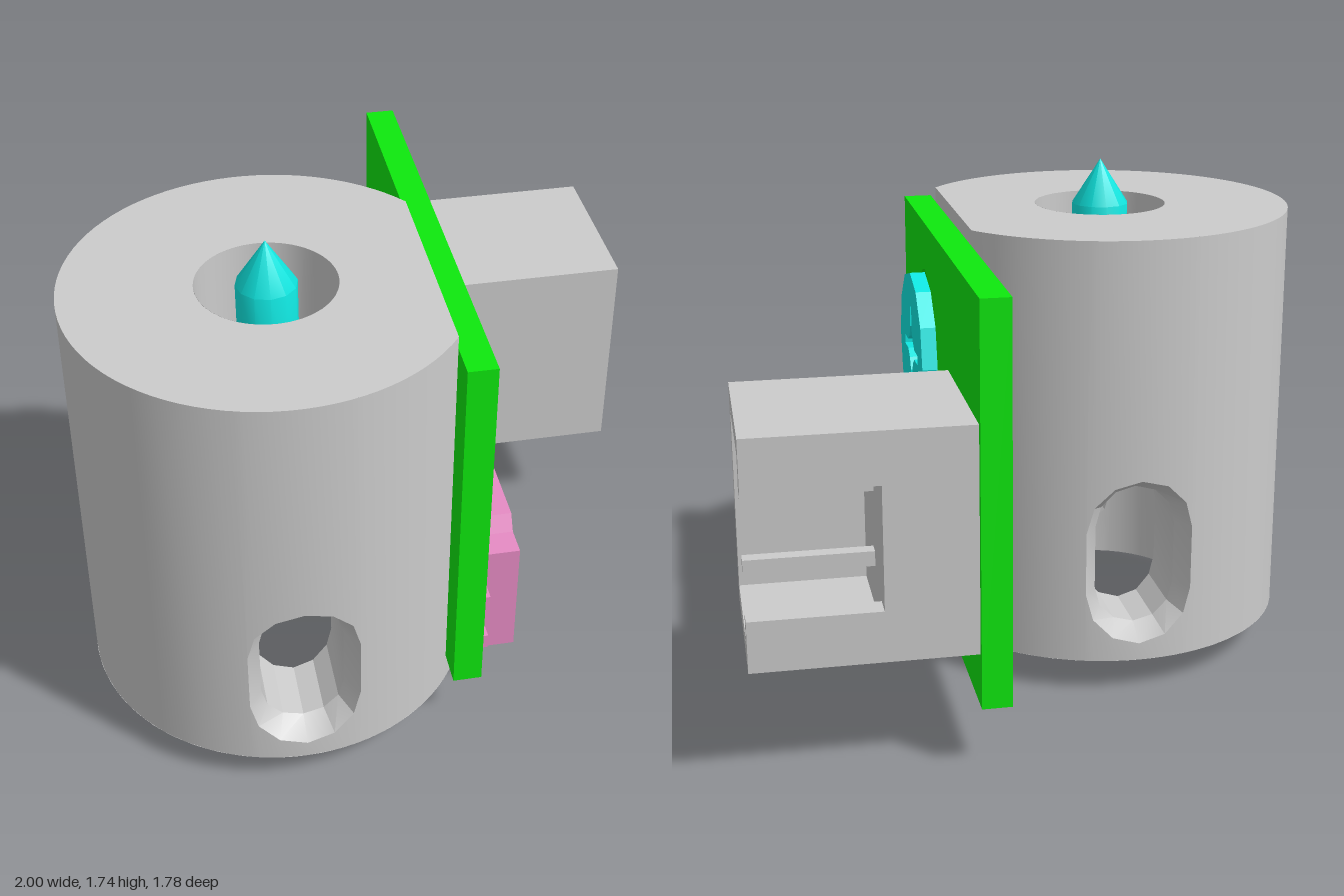
import * as THREE from 'three';
import { mergeGeometries, toCreasedNormals } from 'three/addons/utils/BufferGeometryUtils.js';

const mat = (color) => new THREE.MeshStandardMaterial({ color, side: THREE.DoubleSide });
const GREY = mat(0xcccccc), GREEN = mat(0x0ee80e), CYAN = mat(0x10e8e2), PINK = mat(0xe68bc4);

function add(parent, name, geometry, material) {
  const mesh = new THREE.Mesh(geometry, material);
  mesh.name = name;
  parent.add(mesh);
  return mesh;
}

// Box given by its limits on each axis
function box(x0, x1, y0, y1, z0, z1) {
  return new THREE.BoxGeometry(x1 - x0, y1 - y0, z1 - z0)
    .translate((x0 + x1) / 2, (y0 + y1) / 2, (z0 + z1) / 2);
}

// Profile of [z, y] points extruded along x
const points = (list) => list.map(([z, y]) => new THREE.Vector2(-z, y));
function extrudeX(list, x0, x1, hole) {
  const shape = new THREE.Shape(points(list));
  if (hole) shape.holes.push(new THREE.Path(points(hole)));
  return new THREE.ExtrudeGeometry(shape, { depth: x1 - x0, bevelEnabled: false })
    .rotateY(Math.PI / 2).translate(x0, 0, 0);
}

// Stadium outline with 30 degree facets
function stadium(cx, lo, hi, r) {
  const out = [];
  for (let i = 0; i < 14; i++) {
    const a = (i < 7 ? i : i - 1) * Math.PI / 6;
    out.push([cx + r * Math.cos(a), (i < 7 ? hi : lo) + r * Math.sin(a)]);
  }
  return out;
}

// Body dimensions, relative to its own axis
const R = 0.66, BORE = 0.355, HOLE = 0.23, FLAT = 0.528;
const Y0 = 0.115, LEDGE = 0.215, Y1 = 1.585, BORE_TOP = 0.95, HOLE_FLOOR = 1.1;
const SLOT_LO = 0.36, SLOT_HI = 0.582, SLOT_OUT = 0.184, SLOT_IN = 0.138;

function fromQuads(quads) {
  const pos = [];
  for (const [a, b, c, d] of quads) pos.push(...a, ...b, ...c, ...a, ...c, ...d);
  const g = new THREE.BufferGeometry();
  g.setAttribute('position', new THREE.Float32BufferAttribute(pos, 3));
  return g;
}

// Round wall pierced by the front and back slots, lowered where the flat cuts it
function wall(r, top, slot, flat, inward) {
  const angles = [];
  for (let i = 0; i < 48; i++) {
    const a = i * Math.PI / 24;
    if (Math.abs(r * Math.cos(a)) > slot + 0.005) angles.push(a);
  }
  for (let i = 0; i <= 6; i++) {
    const a = Math.acos(slot * Math.cos(i * Math.PI / 6) / r);
    angles.push(a, 2 * Math.PI - a);
  }
  const phi = Math.acos(FLAT / R);
  if (flat) angles.push(phi, 2 * Math.PI - phi);
  angles.sort((a, b) => a - b);
  angles.push(2 * Math.PI);
  const quads = [];
  const strip = (a, b, al, ah, bl, bh) => {
    const p = (t, y) => [r * Math.cos(t), y, r * Math.sin(t)];
    const q = [p(a, al), p(a, ah), p(b, bh), p(b, bl)];
    quads.push(inward ? q.reverse() : q);
  };
  for (let i = 0; i + 1 < angles.length; i++) {
    const a = angles[i], b = angles[i + 1], x = r * Math.cos((a + b) / 2);
    if (Math.abs(x) < slot) {
      const rise = (t) => Math.sqrt(Math.max(0, slot * slot - (r * Math.cos(t)) ** 2));
      strip(a, b, Y0, SLOT_LO - rise(a), Y0, SLOT_LO - rise(b));
      strip(a, b, SLOT_HI + rise(a), top, SLOT_HI + rise(b), top);
    } else {
      const t = flat && x > FLAT ? LEDGE : top;
      strip(a, b, Y0, t, Y0, t);
    }
  }
  return fromQuads(quads);
}

// Chamfered tunnel from the outer wall into the bore, on side s of z
function slotTunnel(s) {
  const ring = (r, z) => stadium(0, SLOT_LO, SLOT_HI, r).map(([x, y]) => [x, y, s * z(x)]);
  const rings = [
    ring(SLOT_OUT, (x) => Math.sqrt(R * R - x * x)),
    ring(SLOT_IN, () => 0.57),
    ring(SLOT_IN, (x) => Math.sqrt(BORE * BORE - x * x)),
  ];
  const quads = [];
  for (let k = 0; k < 2; k++) {
    for (let i = 0; i < 14; i++) {
      const j = (i + 1) % 14;
      const q = [rings[k][i], rings[k][j], rings[k + 1][j], rings[k + 1][i]];
      quads.push(s > 0 ? q : q.reverse());
    }
  }
  return fromQuads(quads);
}

// Horizontal face from an arc outline, optionally with a round hole
function cap(r, from, to, y, hole, up = true) {
  const shape = new THREE.Shape().absarc(0, 0, r, from, to, false);
  if (hole) shape.holes.push(new THREE.Path().absarc(0, 0, hole, 0, 2 * Math.PI, true));
  const g = new THREE.ShapeGeometry(shape, r === HOLE || hole === HOLE ? 36 : 48);
  return g.rotateX(up ? -Math.PI / 2 : Math.PI / 2).translate(0, y, 0);
}

function bodyGeometry() {
  const phi = Math.acos(FLAT / R), zf = R * Math.sin(phi), full = 2 * Math.PI;
  const holeWall = new THREE.CylinderGeometry(HOLE, HOLE, Y1 - HOLE_FLOOR, 36, 1, true)
    .scale(-1, 1, 1).translate(0, (Y1 + HOLE_FLOOR) / 2, 0);
  holeWall.index.array.reverse();
  // the mirrored, reversed wall is turned to face the axis
  for (let i = 0; i < holeWall.index.count; i += 3) {
    const a = holeWall.index.getX(i);
    holeWall.index.setX(i, holeWall.index.getX(i + 1));
    holeWall.index.setX(i + 1, a);
  }
  const parts = [
    wall(R, Y1, SLOT_OUT, true, false),
    wall(BORE, BORE_TOP, SLOT_IN, false, true),
    slotTunnel(1), slotTunnel(-1), holeWall,
    cap(R, phi, full - phi, Y1, HOLE),
    cap(R, -phi, phi, LEDGE),
    cap(R, 0, full, Y0, BORE, false),
    cap(BORE, 0, full, BORE_TOP, 0, false),
    cap(HOLE, 0, full, HOLE_FLOOR),
    new THREE.PlaneGeometry(2 * zf, Y1 - LEDGE).rotateY(Math.PI / 2)
      .translate(FLAT, (Y1 + LEDGE) / 2, 0),
  ].map((g) => {
    const n = g.index ? g.toNonIndexed() : g;
    n.deleteAttribute('uv');
    n.deleteAttribute('normal');
    return n;
  });
  return toCreasedNormals(mergeGeometries(parts), 0.45);
}

export function createModel() {
  const model = new THREE.Group();
  model.name = 'sensorAssembly';

  // Round housing with the pointed pin in its top hole
  const housing = new THREE.Group();
  housing.name = 'housing';
  housing.position.set(-0.343, 0, 0.225);
  model.add(housing);
  add(housing, 'housingBody', bodyGeometry(), GREY);
  const pin = [[0, 1.1], [0.125, 1.1], [0.125, 1.35], [0.1, 1.35], [0.1, 1.585], [0, 1.74]]
    .map(([x, y]) => new THREE.Vector2(x, y));
  add(housing, 'pointedPin', toCreasedNormals(new THREE.LatheGeometry(pin, 12), 0.6), CYAN);

  // Circuit board with an upright adjusting slot
  add(model, 'circuitBoard', extrudeX(
    [[0.735, 0.215], [-0.89, 0.215], [-0.89, 1.535], [0.735, 1.535]], 0.187, 0.285,
    stadium(0.23, 1.09, 1.24, 0.13)), GREEN);

  // Cross-head screw
  const screw = new THREE.Group();
  screw.name = 'screw';
  model.add(screw);
  const rim = [], cross = [];
  for (let i = 0; i < 12; i++) {
    const a = i * Math.PI / 6;
    rim.push([0.23 + 0.278 * Math.cos(a), 1.08 + 0.278 * Math.sin(a)]);
  }
  for (let k = 0; k < 4; k++) {
    const c = Math.round(Math.cos(k * Math.PI / 2)), s = Math.round(Math.sin(k * Math.PI / 2));
    for (const [u, v] of [[0.157, 0.017], [0.08, 0.017], [0.04, 0.04], [0.017, 0.08], [0.017, 0.157]])
      cross.push([0.23 + u * c - v * s, 1.08 + u * s + v * c]);
  }
  add(screw, 'screwHead', extrudeX(rim, 0.285, 0.338, cross), CYAN);
  add(screw, 'screwShank', new THREE.CylinderGeometry(0.11, 0.11, 0.1, 12)
    .rotateZ(Math.PI / 2).translate(0.24, 1.08, 0.23), CYAN);

  // Two-pin socket: solid base, C-shaped shroud, pins
  const socket = new THREE.Group();
  socket.name = 'socket';
  model.add(socket);
  add(socket, 'socketBase', box(0.285, 0.58, 0.395, 1.145, -0.87, -0.28), GREY);
  add(socket, 'socketShroud', extrudeX([
    [-0.87, 0.395], [-0.87, 0.565], [-0.79, 0.565], [-0.79, 0.468], [-0.352, 0.468], [-0.352, 1.072],
    [-0.79, 1.072], [-0.79, 0.972], [-0.87, 0.972], [-0.87, 1.145], [-0.28, 1.145], [-0.28, 0.395],
  ], 0.58, 1), GREY);
  for (const y of [0.645, 0.897])
    add(socket, 'socketPin', box(0.58, 0.995, y - 0.025, y + 0.025, -0.637, -0.589), GREY);

  // Lever switch with two terminals on each side
  const lever = new THREE.Group();
  lever.name = 'leverSwitch';
  model.add(lever);
  add(lever, 'switchBody', extrudeX([
    [0.615, 0.238], [0.06, 0.238], [0.06, 0.67], [0.157, 0.67], [0.19, 0.725],
    [0.485, 0.725], [0.518, 0.67], [0.615, 0.67],
  ], 0.285, 0.428), PINK);
  add(lever, 'switchLever', extrudeX([
    [0.335, 0.238], [0.276, 0.135], [0.276, 0.015], [0.262, 0.003], [0.235, 0.003],
    [0.213, 0.015], [0.15, 0.12], [0.117, 0.238],
  ], 0.345, 0.425), PINK);
  for (const y of [0.37, 0.55])
    for (const z of [0.667, 0.008])
      add(lever, 'switchTerminal', box(0.285, 0.305, y - 0.027, y + 0.027, z - 0.053, z + 0.053), PINK);

  return model;
}
